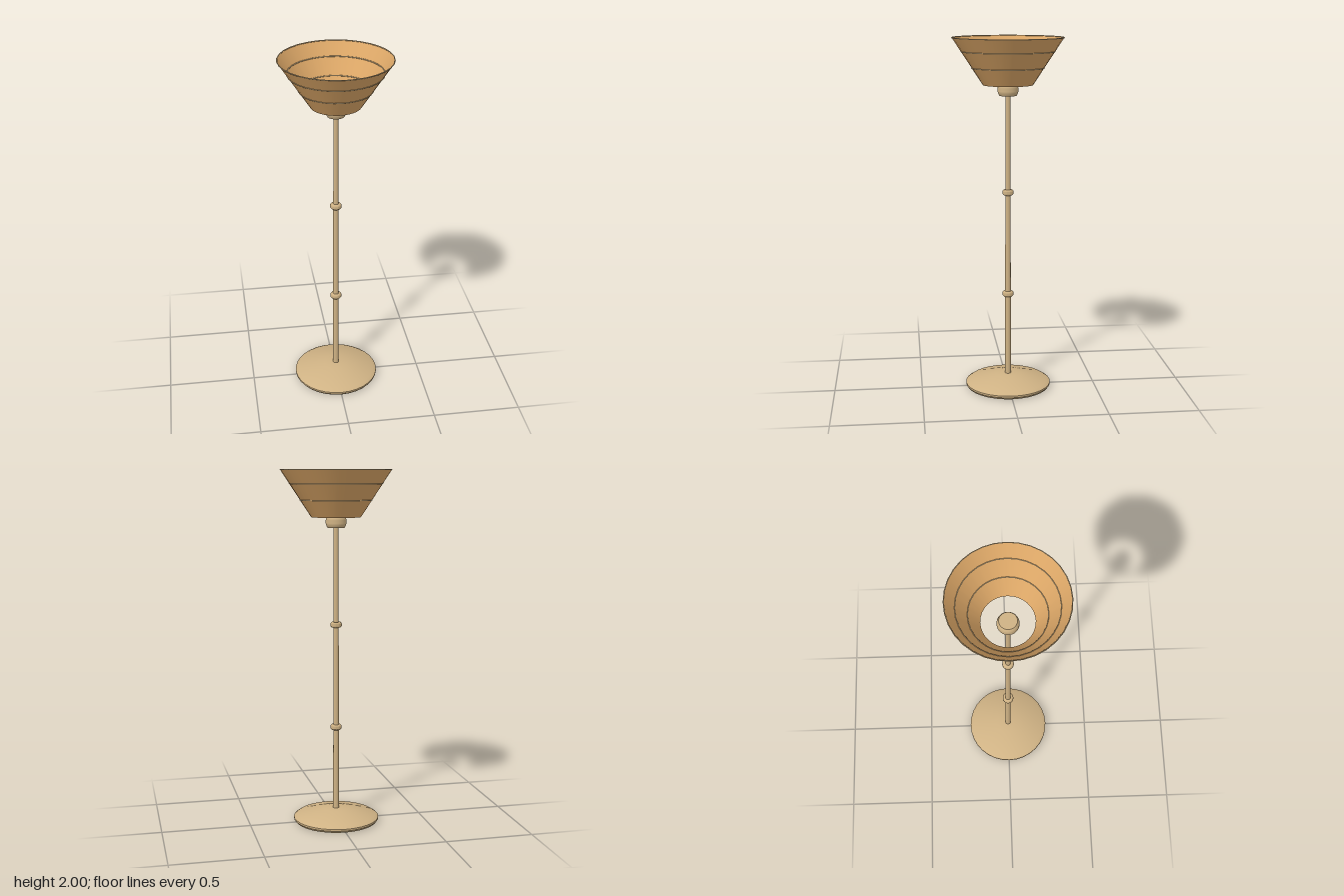
import * as THREE from 'three';
import { toCreasedNormals } from 'three/addons/utils/BufferGeometryUtils.js';

const SIDES = 32;

export function createModel() {
  const lamp = new THREE.Group();
  lamp.name = 'floorLamp';

  const brass = new THREE.MeshStandardMaterial({ color: 0xcfb284 });
  brass.name = 'pale brass';
  const amber = new THREE.MeshStandardMaterial({ color: 0xdca767, side: THREE.DoubleSide });
  amber.name = 'amber shade';

  const add = (name, geometry, material, y = 0) => {
    const mesh = new THREE.Mesh(geometry, material);
    mesh.name = name;
    mesh.position.y = y;
    lamp.add(mesh);
    return mesh;
  };
  // Turned part from [radius, height] pairs, listed bottom to top
  const turned = (profile, crease = 0.5) => toCreasedNormals(
    new THREE.LatheGeometry(profile.map(([r, y]) => new THREE.Vector2(r, y)), SIDES), crease);

  // Weighted foot with a bevelled rim and a shallow conical top
  add('base', turned([
    [0, 0], [0.235, 0], [0.244, 0.012], [0.244, 0.022], [0.225, 0.035], [0.07, 0.07], [0, 0.072],
  ]), brass);

  // Slightly tapering pole
  add('pole', new THREE.CylinderGeometry(0.0135, 0.0175, 1.63, 16), brass, 0.06 + 1.63 / 2);

  // Rounded collars on the pole
  const collar = turned([
    [0.012, -0.015], [0.025, -0.015], [0.032, -0.007], [0.032, 0.007], [0.025, 0.015], [0.012, 0.015],
  ], 0.9);
  for (const y of [0.55, 1.14]) add('collar', collar, brass, y);

  // Bulb holder: a ball cut flat at both ends
  const ball = [[0, -0.034]];
  for (let i = 0; i <= 8; i++) {
    const a = THREE.MathUtils.lerp(-0.626, 0.626, i / 8);
    ball.push([0.058 * Math.cos(a), 0.058 * Math.sin(a)]);
  }
  ball.push([0, 0.034]);
  add('bulbHolder', turned(ball), brass, 1.715);

  // Open conical shade
  const bottom = 1.74, top = 1.998, rBottom = 0.138, rTop = 0.307;
  add('shade', new THREE.CylinderGeometry(rTop, rBottom, top - bottom, SIDES, 1, true),
    amber, (top + bottom) / 2);

  // Thin wire hoops around the shade and its rim
  for (const [name, y] of [['shadeHoop', 1.833], ['shadeHoop', 1.922], ['shadeRim', 1.997]]) {
    const r = THREE.MathUtils.mapLinear(y, bottom, top, rBottom, rTop);
    const hoop = new THREE.TorusGeometry(r, 0.003, 6, SIDES);
    hoop.rotateX(Math.PI / 2);
    add(name, hoop, brass, y);
  }
  return lamp;
}
